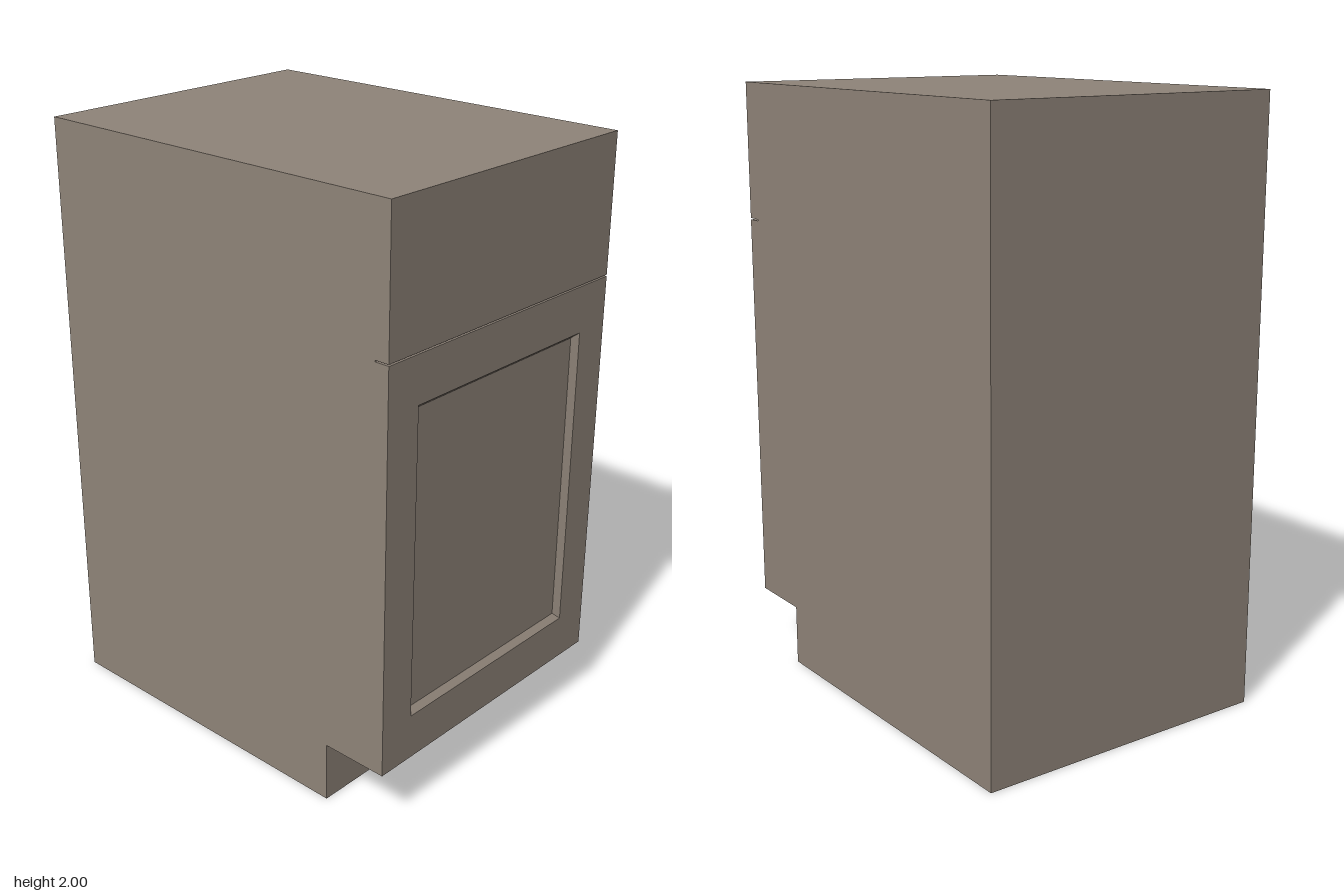
import * as THREE from 'three';

const HALF_W = 0.52, BACK = -0.695, FRONT = 0.695;
const FRONT_THICK = 0.05, CARCASS_FRONT = FRONT - FRONT_THICK;
const KICK_H = 0.204, KICK_Z = 0.465, TOP = 2;
const GAP_LOW = 1.54, GAP_HIGH = 1.545;

const material = new THREE.MeshStandardMaterial({ color: 0x8f8479 });

function addMesh(group, name, geometry) {
  const mesh = new THREE.Mesh(geometry, material);
  mesh.name = name;
  group.add(mesh);
  return mesh;
}

// Joins rectangles { x, y0, y1, z } from back to front and caps both ends, with sharp edges.
function loftRects(rects) {
  const corners = rects.map(({ x, y0, y1, z }) => [[-x, y0, z], [x, y0, z], [x, y1, z], [-x, y1, z]]);
  const positions = [];
  const quad = (a, b, c, d) => positions.push(...a, ...b, ...c, ...a, ...c, ...d);
  for (let i = 0; i < corners.length - 1; i++) {
    const p = corners[i], q = corners[i + 1];
    for (let k = 0; k < 4; k++) {
      const n = (k + 1) % 4;
      quad(p[k], p[n], q[n], q[k]);
    }
  }
  const first = corners[0], last = corners[corners.length - 1];
  quad(first[3], first[2], first[1], first[0]);
  quad(...last);
  const geometry = new THREE.BufferGeometry();
  geometry.setAttribute('position', new THREE.Float32BufferAttribute(positions, 3));
  geometry.computeVertexNormals();
  return geometry;
}

export function createModel() {
  const cabinet = new THREE.Group();
  cabinet.name = 'baseCabinet';

  // Carcass: side profile with the toe kick notch, extruded across the width
  const profile = new THREE.Shape([
    [BACK, 0], [KICK_Z, 0], [KICK_Z, KICK_H], [CARCASS_FRONT, KICK_H], [CARCASS_FRONT, TOP], [BACK, TOP],
  ].map(([z, y]) => new THREE.Vector2(-z, y)));
  const carcass = new THREE.ExtrudeGeometry(profile, { depth: HALF_W * 2, bevelEnabled: false });
  carcass.translate(0, 0, -HALF_W).rotateY(Math.PI / 2);
  addMesh(cabinet, 'carcass', carcass);

  // Drawer front: plain slab above the narrow gap
  const drawer = new THREE.BoxGeometry(HALF_W * 2, TOP - GAP_HIGH, FRONT_THICK);
  addMesh(cabinet, 'drawerFront', drawer)
    .position.set(0, (TOP + GAP_HIGH) / 2, FRONT - FRONT_THICK / 2);

  // Door: flat frame sloping in to a recessed centre panel
  addMesh(cabinet, 'door', loftRects([
    { x: HALF_W, y0: KICK_H, y1: GAP_LOW, z: CARCASS_FRONT },
    { x: HALF_W, y0: KICK_H, y1: GAP_LOW, z: FRONT },
    { x: 0.39, y0: 0.356, y1: 1.386, z: FRONT },
    { x: 0.373, y0: 0.374, y1: 1.369, z: FRONT - 0.02 },
  ]));

  return cabinet;
}
